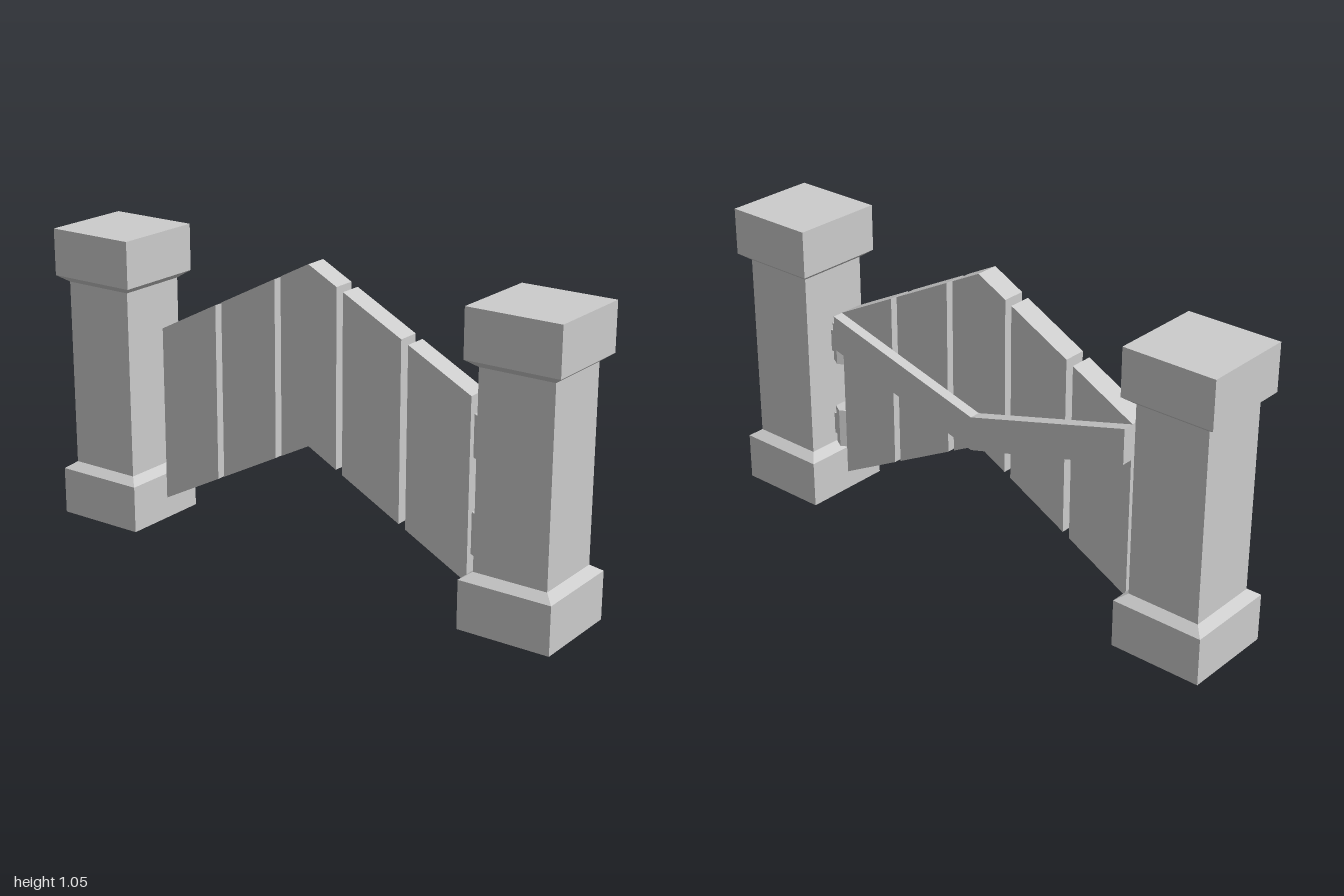
import * as THREE from 'three';

const material = new THREE.MeshStandardMaterial({ color: 0xcccccc, flatShading: true });

function part(name, geometry) {
  const mesh = new THREE.Mesh(geometry, material);
  mesh.name = name;
  return mesh;
}

// Flat slab from a [z, y] outline, spanning x0 to x1
function slab(name, outline, x0, x1) {
  const shape = new THREE.Shape(outline.map(([z, y]) => new THREE.Vector2(z, y)));
  const geometry = new THREE.ExtrudeGeometry(shape, { depth: x1 - x0, bevelEnabled: false });
  geometry.rotateY(-Math.PI / 2).translate(x1, 0, 0);
  return part(name, geometry);
}

// Square post with wide base and cap, from [half width, height] pairs
function pillar(name, z) {
  const profile = [
    [0, 0], [0.166, 0], [0.166, 0.168], [0.132, 0.192],
    [0.132, 0.859], [0.166, 0.884], [0.166, 1.05], [0, 1.05],
  ].map(([half, y]) => new THREE.Vector2(half * Math.SQRT2, y));
  const geometry = new THREE.LatheGeometry(profile, 4).rotateY(Math.PI / 4);
  geometry.translate(0, 0, z);
  return part(name, geometry);
}

// Barrel against the gate edge with a leaf fixed to the pillar
function hinge(name, y) {
  const group = new THREE.Group();
  group.name = name;
  const barrel = part('hingeBarrel', new THREE.CylinderGeometry(0.04, 0.04, 0.143, 6).rotateY(Math.PI / 2));
  // vertices point along x, flats face the gate and the pillar
  barrel.position.set(0, y, 0.658);
  const leaf = part('hingeLeaf', new THREE.BoxGeometry(0.04, 0.08, 0.03));
  leaf.position.set(0, y, 0.69);
  group.add(barrel, leaf);
  return group;
}

export function createModel() {
  const model = new THREE.Group();
  model.name = 'gate';
  model.add(pillar('hingePillar', 0.834), pillar('latchPillar', -0.834));

  // Planks cut to a peaked top and bottom
  const planks = new THREE.Group();
  planks.name = 'planks';
  const top = (z) => 1.05 - 0.517 * Math.abs(z);
  const bottom = (z) => 0.43 - 0.525 * Math.abs(z);
  planks.add(slab('middlePlank', [
    [-0.112, bottom(0.112)], [0, bottom(0)], [0.112, bottom(0.112)],
    [0.112, top(0.112)], [0, top(0)], [-0.112, top(0.112)],
  ], -0.042, 0.04));
  for (const side of [-1, 1]) {
    for (const [inner, outer] of [[0.137, 0.362], [0.388, 0.624]]) {
      const [a, b] = [side * inner, side * outer].sort((p, q) => p - q);
      planks.add(slab('sidePlank', [[a, bottom(a)], [b, bottom(b)], [b, top(b)], [a, top(a)]], -0.042, 0.04));
    }
  }
  model.add(planks);

  // V-shaped brace across one face
  model.add(slab('brace', [
    [-0.624, 0.602], [0, 0.43], [0.624, 0.602],
    [0.624, 0.727], [0, 0.552], [-0.624, 0.727],
  ], 0.04, 0.08));

  model.add(hinge('upperHinge', 0.592), hinge('lowerHinge', 0.266));
  return model;
}
